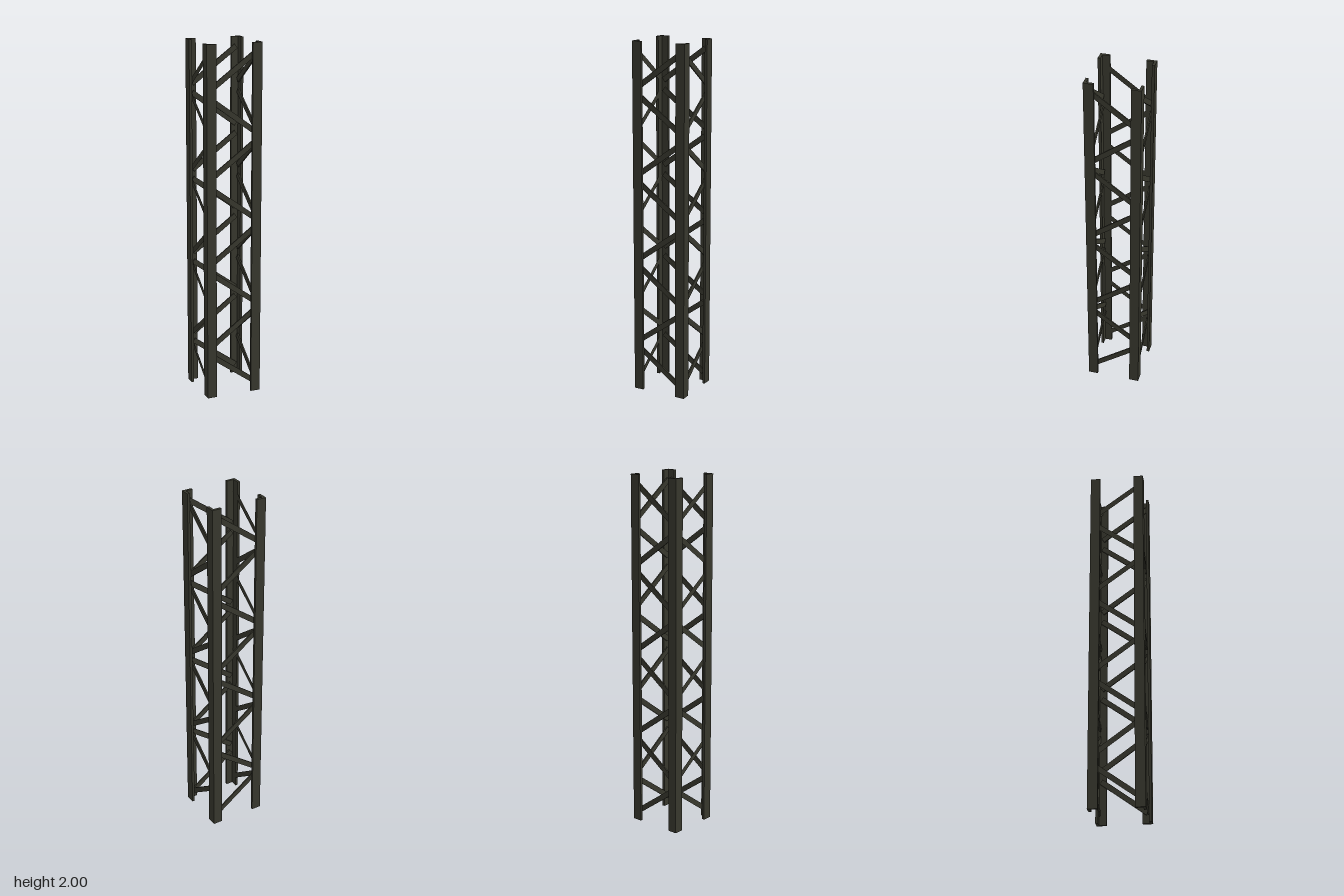
import * as THREE from 'three';

const HEIGHT = 2, HALF_X = 0.161, HALF_Z = 0.153;
const LEG = 0.055, THICK = 0.015;
const BRACE_WIDTH = 0.03, BRACE_THICK = 0.008;

export function createModel() {
  const model = new THREE.Group();
  model.name = 'latticeTower';
  const steel = new THREE.MeshStandardMaterial({ color: 0x37372d });
  steel.name = 'dark steel';
  const thinSteel = steel.clone();
  thinSteel.side = THREE.DoubleSide;

  const add = (parent, name, geometry, material = steel) => {
    const mesh = new THREE.Mesh(geometry, material);
    mesh.name = name;
    parent.add(mesh);
    return mesh;
  };

  // Four L-section corner posts, each a quarter turn from the last
  const section = new THREE.Shape([
    [0, 0], [LEG, 0], [LEG, THICK], [THICK, THICK], [THICK, LEG], [0, LEG],
  ].map(([x, y]) => new THREE.Vector2(x, y)));
  const postGeometry = new THREE.ExtrudeGeometry(section, { depth: HEIGHT, bevelEnabled: false });
  postGeometry.rotateX(-Math.PI / 2);
  [[-1, 1, 'frontRightPost'], [1, 1, 'frontLeftPost'], [1, -1, 'backLeftPost'], [-1, -1, 'backRightPost']]
    .forEach(([sx, sz, name], i) => {
      const post = add(model, name, postGeometry);
      post.position.set(sx * HALF_X, 0, sz * HALF_Z);
      post.rotation.y = i * Math.PI / 2;
    });

  // Zigzag braces on all four faces
  const angle = 0.628;
  const barX = new THREE.BoxGeometry(0.325, BRACE_WIDTH, BRACE_THICK);
  const barZ = new THREE.BoxGeometry(BRACE_THICK, BRACE_WIDTH, 0.315);
  const flatZ = new THREE.PlaneGeometry(0.315, BRACE_WIDTH).rotateY(Math.PI / 2);
  const faces = [
    { name: 'frontBrace', geometry: barX, z: 0.133 },
    { name: 'backBrace', geometry: barX, z: -0.133 },
    { name: 'leftBrace', geometry: barZ, x: 0.141 },
    // this face carries paper-thin strips
    { name: 'rightBrace', geometry: flatZ, x: -0.143, material: thinSteel },
  ];
  for (const { name, geometry, x = 0, z = 0, material } of faces) {
    const group = new THREE.Group();
    group.name = name + 's';
    model.add(group);
    for (let k = 0; k < 8; k++) {
      const brace = add(group, name, geometry, material);
      const sign = k % 2 ? 1 : -1;
      brace.position.set(x, 0.15 + k * 0.243, z);
      if (x) brace.rotation.x = -sign * angle;
      else brace.rotation.z = sign * angle;
    }
  }
  return model;
}
